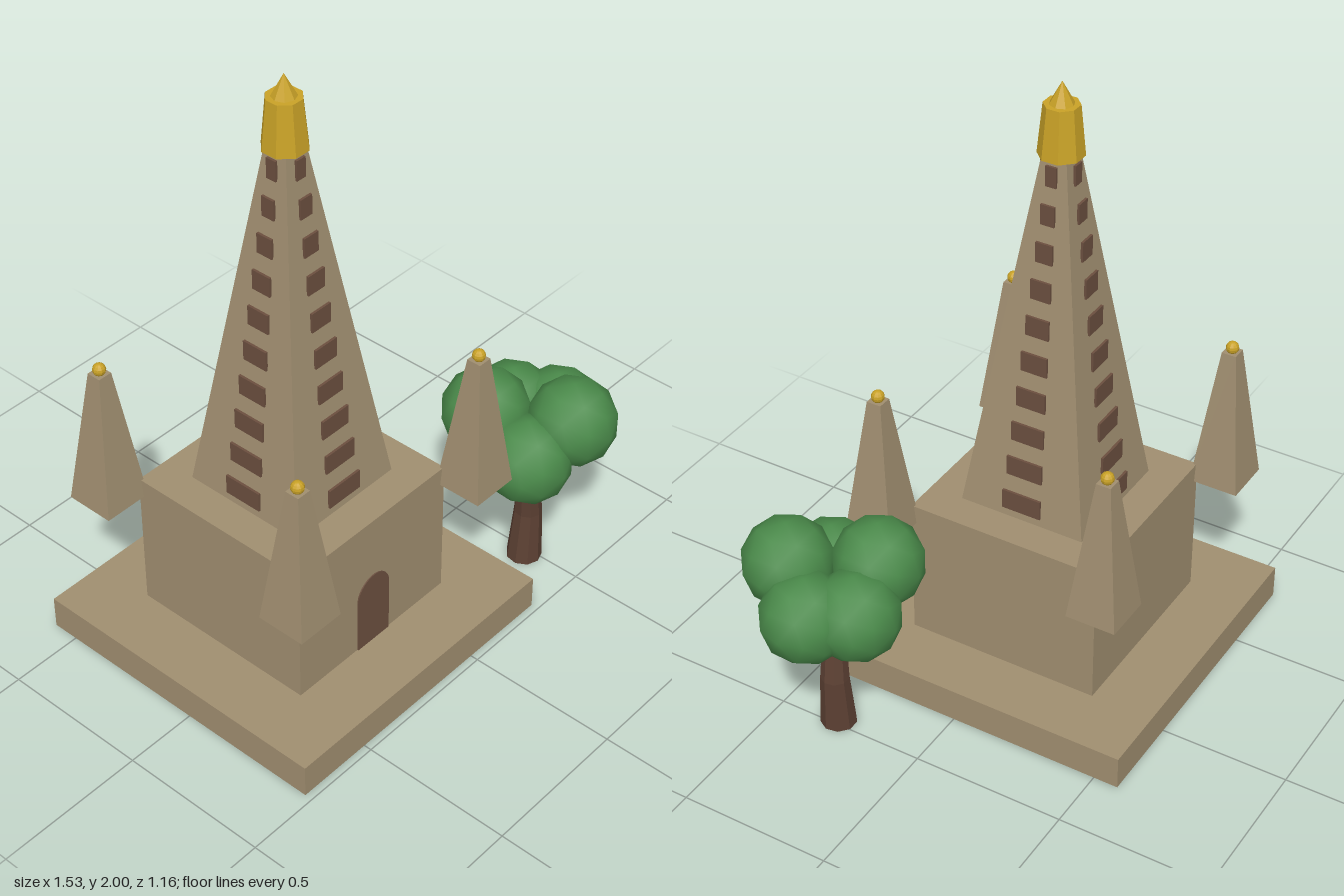
import * as THREE from 'three';

const material = (name, color, flatShading = true) => {
  const m = new THREE.MeshStandardMaterial({ color, flatShading });
  m.name = name;
  return m;
};

export function createModel() {
  const stone = material('stone', 0xa08e70);
  const wood = material('dark wood', 0x6b4f3f);
  const gold = material('gold', 0xc9a227);
  const bark = material('bark', 0x5c4033);
  const leaf = material('leaf', 0x4a8a4a, false);

  const model = new THREE.Group();
  model.name = 'templeWithTree';

  const add = (parent, name, geometry, mat, x = 0, y = 0, z = 0) => {
    const mesh = new THREE.Mesh(geometry, mat);
    mesh.name = name;
    mesh.position.set(x, y, z);
    parent.add(mesh);
    return mesh;
  };
  // square frustum given by half widths
  const frustum = (top, bottom, height) =>
    new THREE.CylinderGeometry(top * Math.SQRT2, bottom * Math.SQRT2, height, 4).rotateY(Math.PI / 4);

  const temple = new THREE.Group();
  temple.name = 'temple';
  temple.position.set(-0.233, 0, -0.053);
  model.add(temple);

  // plinth and hall
  add(temple, 'plinth', new THREE.BoxGeometry(1.062, 0.112, 1.062), stone, 0, 0.066, 0);
  add(temple, 'hall', new THREE.BoxGeometry(0.65, 0.48, 0.65), stone, 0, 0.36, 0);

  // arched door
  const arch = new THREE.Shape();
  arch.moveTo(-0.07, 0);
  arch.lineTo(0.07, 0);
  arch.lineTo(0.07, 0.195);
  arch.absarc(0, 0.195, 0.07, 0, Math.PI, false);
  arch.closePath();
  const doorGeometry = new THREE.ExtrudeGeometry(arch, { depth: 0.008, bevelEnabled: false, curveSegments: 10 });
  add(temple, 'door', doorGeometry, wood, 0, 0.121, 0.321);

  // spire of ten tiers, each with a window plate on every side
  const tierHeight = 0.118;
  const halfWidth = (i) => 0.212 - 0.0172 * i;
  for (let i = 0; i < 10; i++) {
    const w = halfWidth(i);
    const y = 0.6 + tierHeight * (i + 0.5);
    add(temple, 'spireTier', frustum(halfWidth(i + 1), w, tierHeight), stone, 0, y, 0);
    for (let side = 0; side < 4; side++) {
      const plate = new THREE.BoxGeometry(w * 0.62, 0.066, 0.008);
      plate.translate(0, 0, w - 0.002).rotateY(side * Math.PI / 2);
      add(temple, 'window', plate, wood, 0, y, 0);
    }
  }

  // eight-sided crown and its point
  const crown = new THREE.CylinderGeometry(0.055, 0.071, 0.16, 8).rotateY(Math.PI / 8);
  add(temple, 'crown', crown, gold, 0, 1.85, 0);
  add(temple, 'crownPoint', new THREE.ConeGeometry(0.038, 0.07, 8), gold, 0, 1.965, 0);

  // corner turrets with gold balls
  for (const sx of [-1, 1]) {
    for (const sz of [-1, 1]) {
      const turret = new THREE.Group();
      turret.name = 'turret';
      turret.position.set(sx * 0.39, 0, sz * 0.39);
      temple.add(turret);
      add(turret, 'turretBody', frustum(0.024, 0.082, 0.47), stone, 0, 0.775, 0);
      add(turret, 'turretBall', new THREE.SphereGeometry(0.021, 10, 8), gold, 0, 1.024, 0);
    }
  }

  const tree = new THREE.Group();
  tree.name = 'tree';
  model.add(tree);

  // bent trunk: a cylinder whose rings follow [x, y, z, radius]
  const rings = [
    [0.478, 0.004, 0.304, 0.058],
    [0.487, 0.19, 0.304, 0.046],
    [0.466, 0.358, 0.313, 0.035],
  ];
  const trunk = new THREE.CylinderGeometry(1, 1, 2, 9, 2);
  const p = trunk.attributes.position;
  for (let i = 0; i < p.count; i++) {
    const [x, y, z, r] = rings[Math.round(p.getY(i)) + 1];
    p.setXYZ(i, x + p.getX(i) * r, y, z + p.getZ(i) * r);
  }
  add(tree, 'trunk', trunk, bark);

  // clustered foliage
  const clumps = [
    [0.38, 0.607, 0.2],
    [0.54, 0.525, 0.18],
    [0.618, 0.52, 0.302],
    [0.518, 0.607, 0.432],
    [0.367, 0.52, 0.378],
  ];
  for (const [x, y, z] of clumps) {
    add(tree, 'foliage', new THREE.IcosahedronGeometry(0.145, 1), leaf, x, y, z);
  }

  return model;
}
